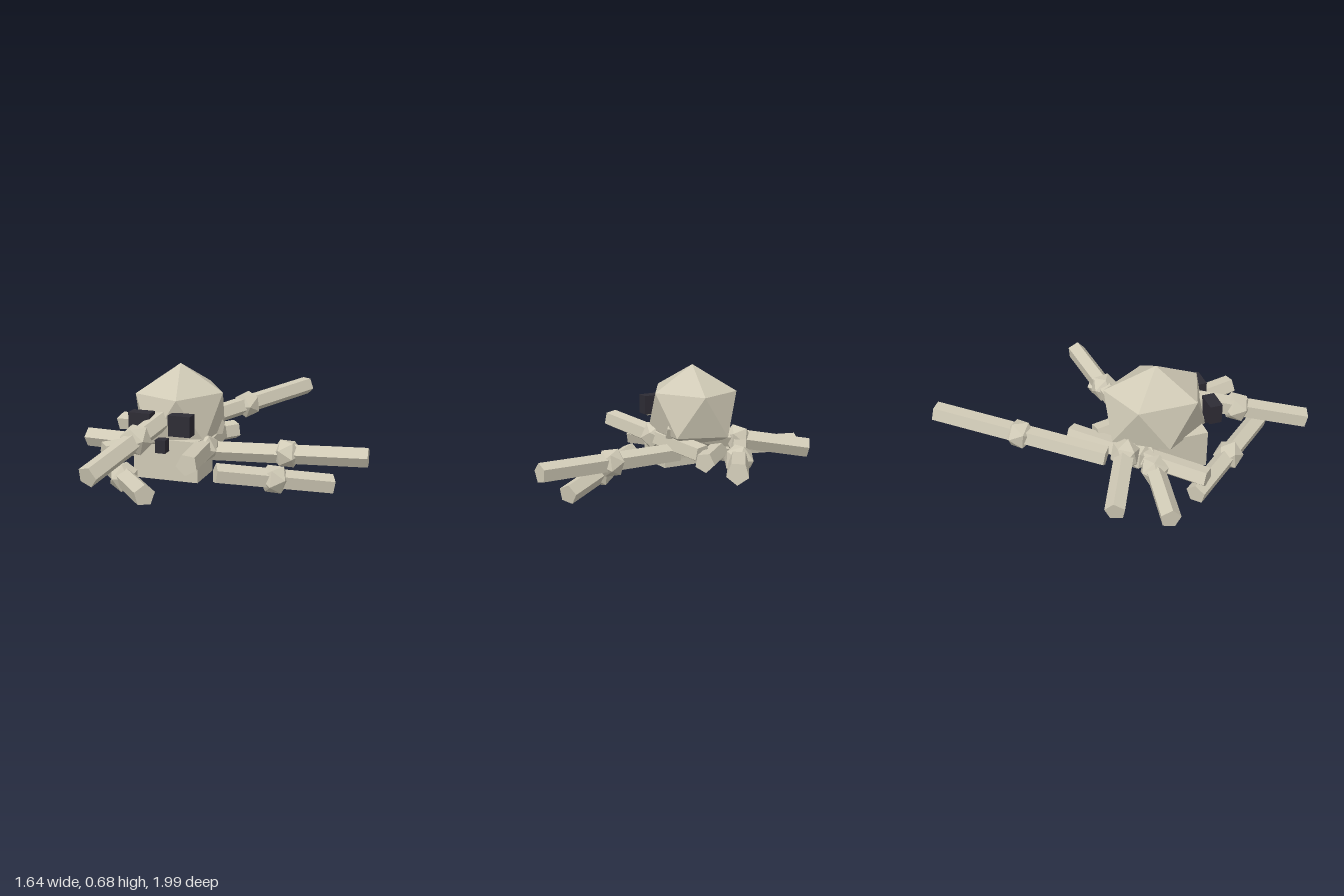
import * as THREE from 'three';

const boneMat = new THREE.MeshStandardMaterial({ name: 'old bone', color: 0xd0cab6, flatShading: true });
const darkMat = new THREE.MeshStandardMaterial({ name: 'dark socket', color: 0x2e2c35, flatShading: true });

// Icosahedron standing on a vertex, upper ring pointing to +x
function uprightIcosahedron(radius) {
  const golden = (1 + Math.sqrt(5)) / 2;
  return new THREE.IcosahedronGeometry(radius, 0).rotateZ(-Math.atan(1 / golden));
}

function addMesh(parent, name, geometry, material, x, y, z) {
  const mesh = new THREE.Mesh(geometry, material);
  mesh.name = name;
  mesh.position.set(x, y, z);
  parent.add(mesh);
  return mesh;
}

// Five-sided shaft with a knobbly joint in the middle; half runs from centre to one end
function makeBone(centre, half) {
  const bone = new THREE.Group();
  bone.name = 'bone';
  const direction = new THREE.Vector3(...half);
  const length = direction.length() * 2;
  addMesh(bone, 'shaft', new THREE.CylinderGeometry(0.056, 0.056, length, 5), boneMat, 0, 0, 0);
  addMesh(bone, 'joint', uprightIcosahedron(0.084), boneMat, 0, 0, 0);
  bone.position.set(...centre);
  bone.quaternion.setFromUnitVectors(new THREE.Vector3(0, 1, 0), direction.normalize());
  return bone;
}

export function createModel() {
  const model = new THREE.Group();
  model.name = 'bonePile';

  // Skull: faceted cranium, block jaw, dark sockets
  const skull = new THREE.Group();
  skull.name = 'skull';
  skull.position.set(-0.19, 0, 0.155);
  model.add(skull);
  const cranium = addMesh(skull, 'cranium', uprightIcosahedron(1), boneMat, 0, 0.422, 0);
  cranium.scale.set(0.268, 0.263, 0.313);
  addMesh(skull, 'jaw', new THREE.BoxGeometry(0.36, 0.22, 0.24), boneMat, 0, 0.21, 0.12);
  for (const side of [-1, 1]) {
    addMesh(skull, 'eyeSocket', new THREE.BoxGeometry(0.12, 0.11, 0.07), darkMat, side * 0.11, 0.42, 0.285);
  }
  addMesh(skull, 'noseSocket', new THREE.BoxGeometry(0.056, 0.07, 0.06), darkMat, 0, 0.3, 0.28);

  // Scattered bones: centre, then vector to one end
  const bones = [
    [[-0.04, 0.305, -0.56], [0.27, 0.055, -0.4]],
    [[0.38, 0.205, 0.053], [0.435, 0.008, -0.045]],
    [[0.36, 0.11, 0.225], [0.275, -0.05, -0.16]],
    [[-0.015, 0.265, 0.28], [0.065, 0.03, 0.425]],
    [[-0.3, 0.21, 0.02], [0.285, 0.015, -0.29]],
    [[-0.355, 0.28, -0.07], [-0.36, -0.06, -0.175]],
    [[-0.43, 0.195, 0.07], [-0.385, -0.01, -0.055]],
    [[-0.26, 0.37, 0.605], [-0.095, -0.095, 0.375]],
    [[-0.37, 0.138, 0.525], [0.24, 0.015, 0.29]],
  ];
  for (const [centre, half] of bones) model.add(makeBone(centre, half));

  return model;
}
